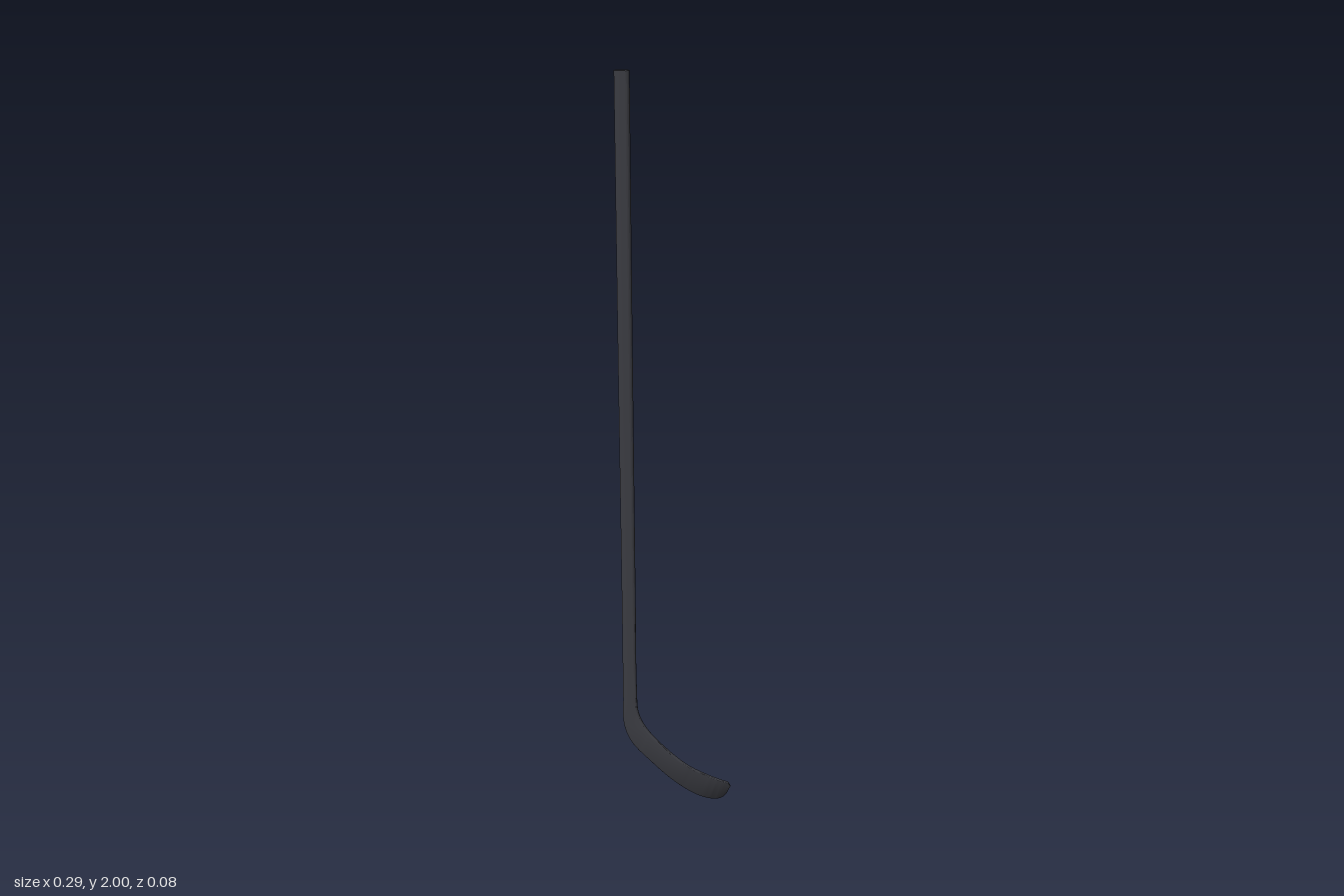
import * as THREE from 'three';
import { toCreasedNormals } from 'three/addons/utils/BufferGeometryUtils.js';

// Stations from butt end to toe: heel/lower edge xyz, upper edge xyz, half thickness
const STATIONS = [
  [-0.147, 2.0, 0.026, -0.111, 2.0, 0.026, 0.011],
  [-0.147, 1.3, 0.026, -0.111, 1.3, 0.026, 0.0105],
  [-0.146, 0.6, 0.027, -0.11, 0.6, 0.027, 0.009],
  [-0.146, 0.34, 0.028, -0.109, 0.36, 0.028, 0.0075],
  [-0.145, 0.25, 0.028, -0.104, 0.285, 0.028, 0.0065],
  [-0.125, 0.195, 0.026, -0.085, 0.245, 0.029, 0.006],
  [-0.07, 0.135, 0.022, -0.045, 0.2, 0.028, 0.005],
  [0.0, 0.066, 0.007, 0.03, 0.135, 0.02, 0.0045],
  [0.06, 0.021, -0.013, 0.09, 0.096, 0.0, 0.004],
  [0.1, 0.004, -0.034, 0.125, 0.077, -0.013, 0.004],
  [0.118, 0.009, -0.037, 0.138, 0.068, -0.022, 0.0035],
  [0.131, 0.022, -0.037, 0.144, 0.055, -0.028, 0.0025],
];
const STEPS = 6; // rings per station
const CORNER = 3; // segments per rounded corner

// Rounded rectangle, counter-clockwise
function roundedSection(halfWidth, halfThick) {
  const r = Math.min(halfThick * 0.6, halfWidth * 0.6);
  const pts = [];
  [[1, 1], [-1, 1], [-1, -1], [1, -1]].forEach(([sx, sy], q) => {
    for (let k = 0; k <= CORNER; k++) {
      const a = (q + k / CORNER) * Math.PI / 2;
      pts.push([sx * (halfWidth - r) + r * Math.cos(a), sy * (halfThick - r) + r * Math.sin(a)]);
    }
  });
  return pts;
}

// Loft the section between the two edge curves
function loftStick() {
  const edge = (o) => new THREE.CatmullRomCurve3(
    STATIONS.map((s) => new THREE.Vector3(s[o], s[o + 1], s[o + 2])));
  const lower = edge(0), upper = edge(3);
  const spans = STATIONS.length - 1, rings = spans * STEPS;
  const mid = (t) => lower.getPoint(t).add(upper.getPoint(t)).multiplyScalar(0.5);
  const positions = [], index = [], n = 4 * (CORNER + 1);

  for (let i = 0; i <= rings; i++) {
    const t = i / rings;
    const k = Math.min(Math.floor(i / STEPS), spans - 1);
    const thick = THREE.MathUtils.lerp(STATIONS[k][6], STATIONS[k + 1][6], i / STEPS - k);
    const across = upper.getPoint(t).sub(lower.getPoint(t));
    const halfWidth = across.length() / 2;
    across.normalize();
    const along = mid(Math.min(1, t + 0.004)).sub(mid(Math.max(0, t - 0.004)));
    const normal = along.cross(across).normalize();
    const centre = mid(t);
    for (const [u, v] of roundedSection(halfWidth, thick)) {
      const p = centre.clone().addScaledVector(across, u).addScaledVector(normal, v);
      positions.push(p.x, Math.max(0, p.y), p.z);
    }
  }

  for (let i = 0; i < rings; i++) {
    for (let j = 0; j < n; j++) {
      const a = i * n + j, b = i * n + (j + 1) % n;
      index.push(a, b, b + n, a, b + n, a + n);
    }
  }
  // End caps
  const last = rings * n;
  for (let j = 1; j < n - 1; j++) {
    index.push(0, j + 1, j, last, last + j, last + j + 1);
  }
  const geometry = new THREE.BufferGeometry();
  geometry.setAttribute('position', new THREE.Float32BufferAttribute(positions, 3));
  geometry.setIndex(index);
  return toCreasedNormals(geometry, 0.75);
}

export function createModel() {
  const group = new THREE.Group();
  group.name = 'hockeyStick';
  // Shaft flowing into the curved, twisted blade
  const stick = new THREE.Mesh(loftStick(), new THREE.MeshStandardMaterial({ color: 0x3a3b41 }));
  stick.name = 'shaftAndBlade';
  group.add(stick);
  return group;
}
